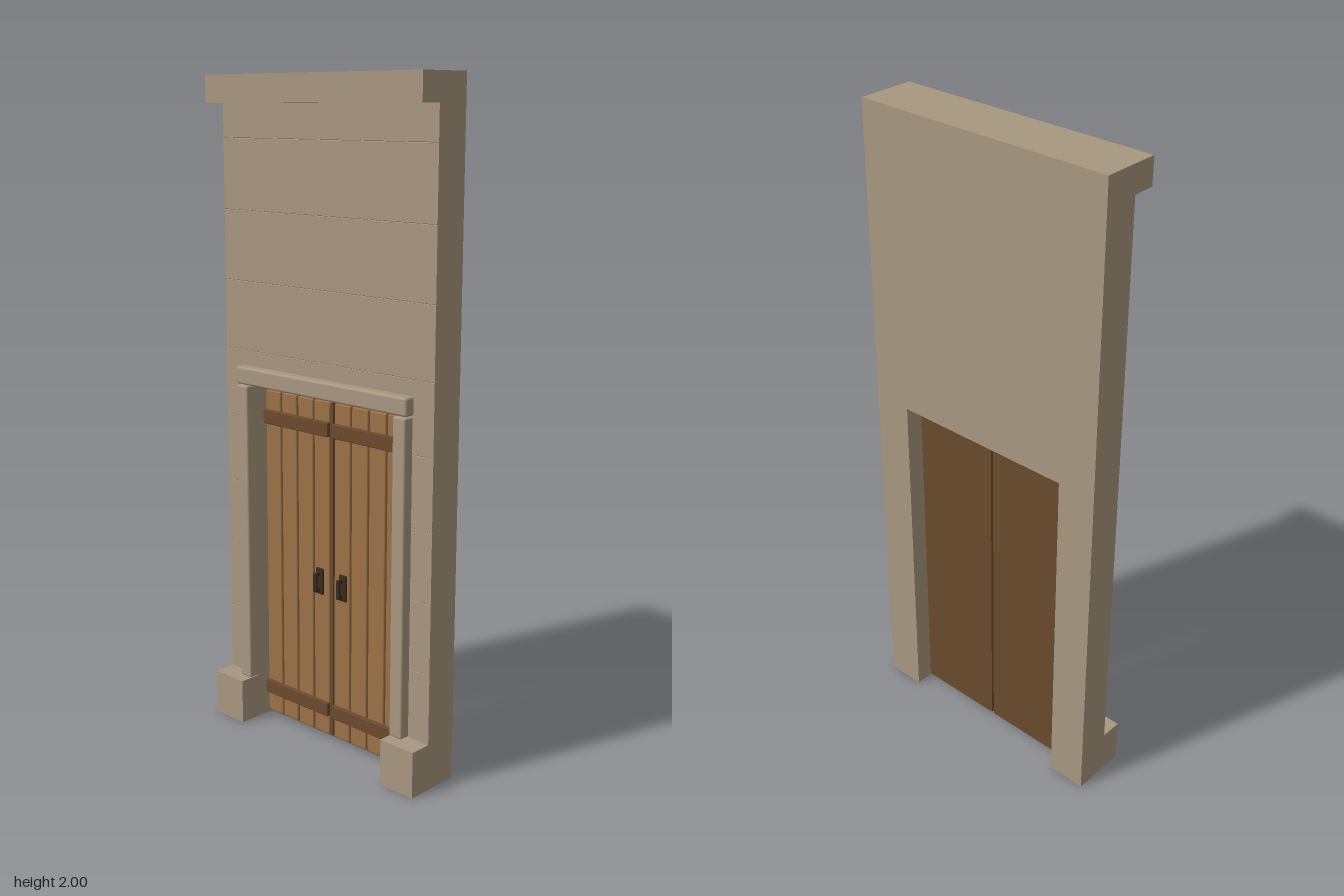
import * as THREE from 'three';
import { RoundedBoxGeometry } from 'three/addons/geometries/RoundedBoxGeometry.js';

const mat = (name, color) => {
  const m = new THREE.MeshStandardMaterial({ color });
  m.name = name;
  return m;
};

export function createModel() {
  const stone = mat('stone', 0xa89880);
  const plankWood = mat('plankWood', 0x9c7246);
  const darkWood = mat('darkWood', 0x6b4a2e);
  const iron = mat('iron', 0x3a2c20);

  const model = new THREE.Group();
  model.name = 'doorwayWall';

  const HALF = 0.415, OPEN = 0.293, OPEN_TOP = 1.085;
  const BACK = -0.088, FACE = 0.02, PROUD = 0.088;

  const add = (parent, name, geometry, material, x, y, z) => {
    const mesh = new THREE.Mesh(geometry, material);
    mesh.name = name;
    mesh.position.set(x, y, z);
    parent.add(mesh);
    return mesh;
  };

  // Box given by its limits, with softened edges when r > 0
  const block = (parent, name, material, x0, x1, y0, y1, z0, z1, r = 0) => {
    const s = [x1 - x0, y1 - y0, z1 - z0];
    const g = r ? new RoundedBoxGeometry(...s, 2, r) : new THREE.BoxGeometry(...s);
    return add(parent, name, g, material, (x0 + x1) / 2, (y0 + y1) / 2, (z0 + z1) / 2);
  };

  // Wall section: side profile with hairline course joints, extruded along x
  const wall = (name, x0, x1, y0, y1, plinthTop, corniceBottom) => {
    const pts = [[BACK, y0]];
    if (plinthTop) pts.push([PROUD, y0], [PROUD, plinthTop], [FACE, plinthTop]);
    else pts.push([FACE, y0]);
    for (let k = 1; k <= 8; k++) {
      const y = 0.14 + 0.21 * k, g = 0.0012;
      if (y > y0 + 0.01 && y < y1 - 0.01) pts.push([FACE, y - g], [FACE - g, y], [FACE, y + g]);
    }
    if (corniceBottom) pts.push([FACE, corniceBottom], [PROUD, corniceBottom], [PROUD, y1]);
    else pts.push([FACE, y1]);
    pts.push([BACK, y1]);
    const shape = new THREE.Shape(pts.map(([z, y]) => new THREE.Vector2(-z, y)));
    const g = new THREE.ExtrudeGeometry(shape, { depth: x1 - x0, bevelEnabled: false });
    g.rotateY(Math.PI / 2); // profile -z becomes world z, depth becomes x
    add(model, name, g, stone, x0, 0, 0);
  };
  wall('upperWallWithCornice', -HALF, HALF, OPEN_TOP, 2, 0, 1.92);
  wall('rightPierWithPlinth', -HALF, -OPEN, 0, OPEN_TOP, 0.14, 0);
  wall('leftPierWithPlinth', OPEN, HALF, 0, OPEN_TOP, 0.14, 0);

  // Door surround
  for (const side of [-1, 1]) {
    const cx = side * 0.316;
    block(model, 'surroundPost', stone, cx - 0.023, cx + 0.023, 0.14, 1.086, 0.012, 0.052, 0.006);
  }
  block(model, 'surroundLintel', stone, -0.342, 0.342, 1.089, 1.143, 0.012, 0.052, 0.008);

  // Two door leaves
  const IN = 0.004, OUT = 0.286, BOT = 0.012, TOP = 1.074;
  for (const side of [-1, 1]) {
    const leaf = new THREE.Group();
    leaf.name = side < 0 ? 'rightDoorLeaf' : 'leftDoorLeaf';
    model.add(leaf);
    const span = (name, m, a, b, y0, y1, z0, z1, r) =>
      block(leaf, name, m, Math.min(side * a, side * b), Math.max(side * a, side * b), y0, y1, z0, z1, r);

    span('backing', darkWood, IN, OUT, BOT, TOP, -0.037, -0.024, 0);

    // Vertical planks
    const n = 4, w = (OUT - IN - 0.006) / n;
    for (let i = 0; i < n; i++) {
      const a = IN + 0.003 + i * w;
      span('plank', plankWood, a + 0.003, a + w - 0.003, BOT + 0.005, TOP - 0.005, -0.03, -0.015, 0.004);
    }

    // Cross straps
    for (const y of [0.102, 0.987]) {
      span('strap', darkWood, IN + 0.005, OUT - 0.005, y - 0.022, y + 0.022, -0.018, -0.004, 0.003);
    }

    // Handle: plate, two stubs and a grip
    const hx = 0.048, hy = 0.51;
    span('handlePlate', iron, hx - 0.015, hx + 0.015, hy - 0.041, hy + 0.041, -0.018, -0.009, 0.003);
    for (const d of [-0.025, 0.025]) {
      span('handleStub', iron, hx - 0.005, hx + 0.005, hy + d - 0.005, hy + d + 0.005, -0.011, 0.006, 0);
    }
    span('handleGrip', iron, hx - 0.007, hx + 0.007, hy - 0.03, hy + 0.03, 0.002, 0.012, 0.003);
  }

  return model;
}
